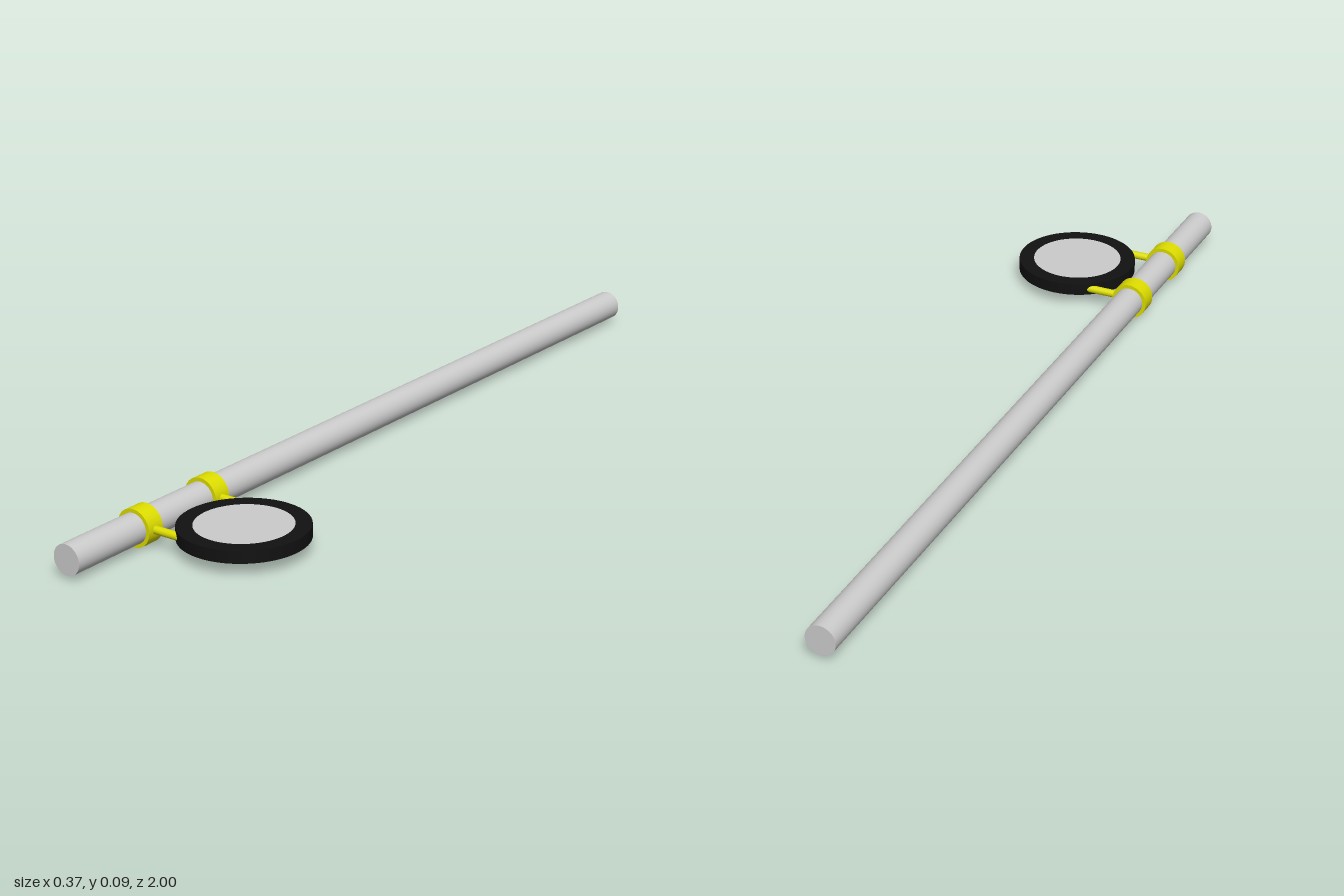
import * as THREE from 'three';

const PIPE_X = -0.145, MID_Y = 0.0425;
const PIPE_R = 0.034, COLLAR_R = 0.0425;
const RING_X = 0.045, RING_Z = 0.676, RING_R = 0.14, LENS_R = 0.105, RING_H = 0.028;

export function createModel() {
  const model = new THREE.Group();
  const grey = new THREE.MeshStandardMaterial({ color: 0xcccccc });
  const yellow = new THREE.MeshStandardMaterial({ color: 0xdddd00 });
  const black = new THREE.MeshStandardMaterial({ color: 0x111111 });

  const add = (name, geometry, material, x, y, z) => {
    const mesh = new THREE.Mesh(geometry, material);
    mesh.name = name;
    mesh.position.set(x, y, z);
    model.add(mesh);
    return mesh;
  };

  // Square-edged ring around the y axis; separate lathes keep its edges sharp
  const addRing = (name, inner, outer, height, material, x, y, z) => {
    const ring = new THREE.Group();
    ring.name = name;
    ring.position.set(x, y, z);
    const h = height / 2;
    const corners = [[inner, -h], [outer, -h], [outer, h], [inner, h]];
    corners.forEach((a, i) => {
      const b = corners[(i + 1) % 4];
      const side = new THREE.LatheGeometry([new THREE.Vector2(...a), new THREE.Vector2(...b)], 64);
      ring.add(new THREE.Mesh(side, material));
    });
    model.add(ring);
    return ring;
  };

  // Long straight pipe
  add('pipe', new THREE.CylinderGeometry(PIPE_R, PIPE_R, 2, 48), grey, PIPE_X, MID_Y, 0)
    .rotation.x = Math.PI / 2;

  // Two collars on the pipe, each with an arm reaching into the ring
  for (const [end, z] of [['rear', 0.568], ['front', 0.779]]) {
    addRing(end + 'Collar', PIPE_R - 0.001, COLLAR_R, 0.042, yellow, PIPE_X, MID_Y, z)
      .rotation.x = Math.PI / 2;
    const from = PIPE_X + PIPE_R + 0.002, to = -0.015;
    add(end + 'Arm', new THREE.CylinderGeometry(0.009, 0.009, to - from, 24), yellow,
      (from + to) / 2, MID_Y, z).rotation.z = Math.PI / 2;
  }

  // Flat round frame with a flush disc inside
  addRing('frame', LENS_R, RING_R, RING_H, black, RING_X, MID_Y + 0.001, RING_Z);
  add('disc', new THREE.CylinderGeometry(LENS_R, LENS_R, RING_H, 64), grey, RING_X, MID_Y + 0.001, RING_Z);

  return model;
}
